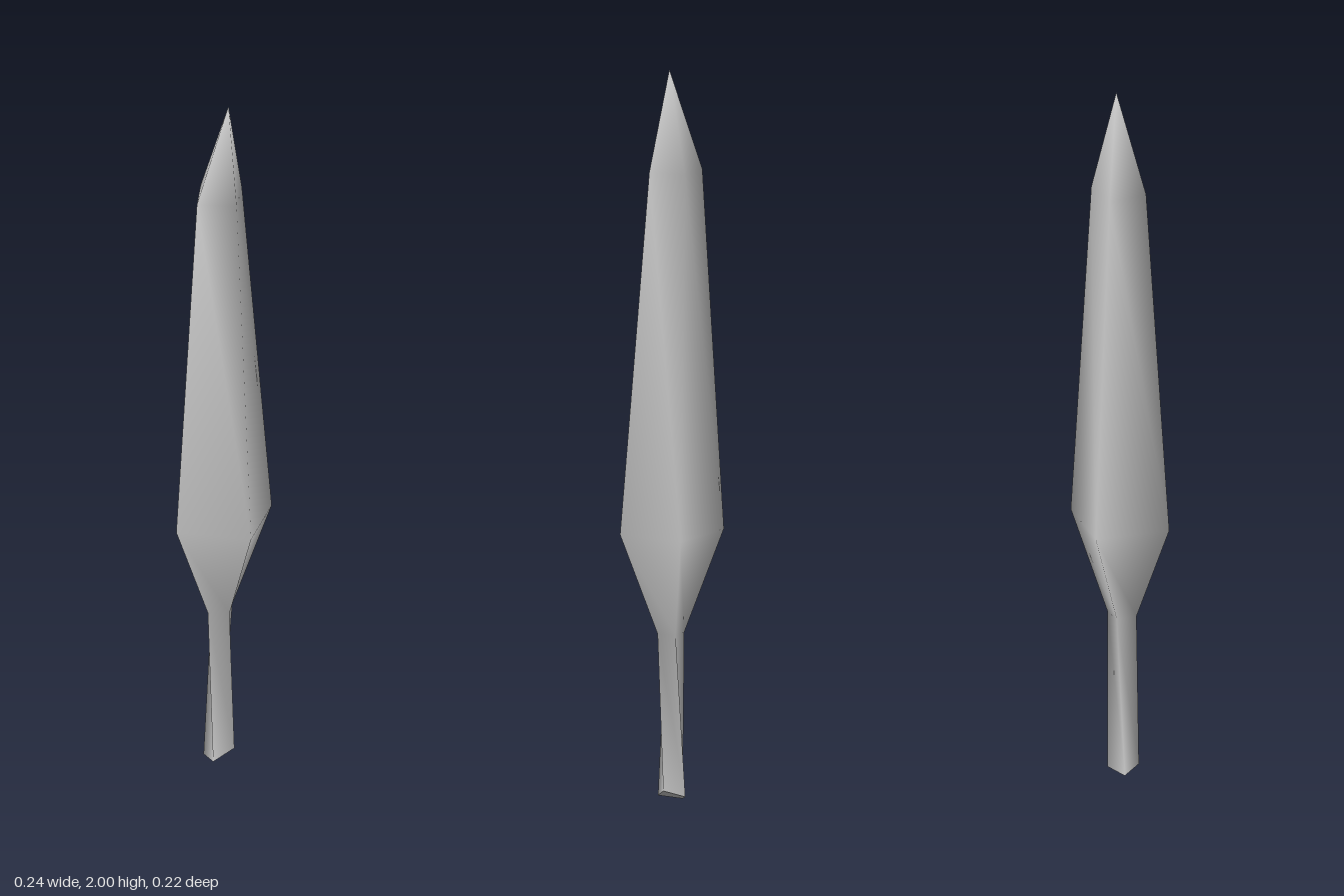
import * as THREE from 'three';

// Cross-sections from butt to shoulder; corners run front-right, back-right, back-left, front-left
const butt = [[0.027, 0.035, 0.01], [-0.012, 0.016, -0.037], [-0.058, 0.002, -0.008], [-0.026, 0.012, 0.05]];
const neck = [[0.016, 0.46, 0.032], [0.018, 0.46, -0.022], [-0.038, 0.46, -0.022], [-0.042, 0.46, 0.035]];
const belly = [[0.083, 0.735, 0.112], [0.118, 0.735, -0.083], [-0.095, 0.74, -0.113], [-0.121, 0.735, 0.094]];
const shoulder = [[0.037, 1.72, 0.047], [0.04, 1.72, -0.06], [-0.072, 1.72, -0.06], [-0.07, 1.72, 0.05]];
const tip = [0.01, 2, 0];

function toGeometry(points, index) {
  const geometry = new THREE.BufferGeometry();
  geometry.setAttribute('position', new THREE.Float32BufferAttribute(points.flat(), 3));
  geometry.setIndex(index);
  geometry.computeVertexNormals();
  return geometry;
}

export function createModel() {
  const group = new THREE.Group();
  group.name = 'spike';
  const material = new THREE.MeshStandardMaterial({ color: 0xcccccc });

  // Four-sided shaft and blade, smoothly shaded, closing at the tip
  const rings = [butt, neck, belly, shoulder];
  const points = [...rings.flat(), tip];
  const index = [];
  for (let r = 0; r < rings.length; r++) {
    for (let j = 0; j < 4; j++) {
      const a = r * 4 + j, b = r * 4 + (j + 1) % 4;
      if (r === rings.length - 1) index.push(a, b, points.length - 1);
      else index.push(a, b, a + 4, b, b + 4, a + 4);
    }
  }
  const blade = new THREE.Mesh(toGeometry(points, index), material);
  blade.name = 'shaftAndBlade';

  // Slanted end of the shaft
  const cap = new THREE.Mesh(toGeometry(butt, [0, 2, 1, 0, 3, 2]), material);
  cap.name = 'shaftEnd';

  group.add(blade, cap);
  return group;
}
